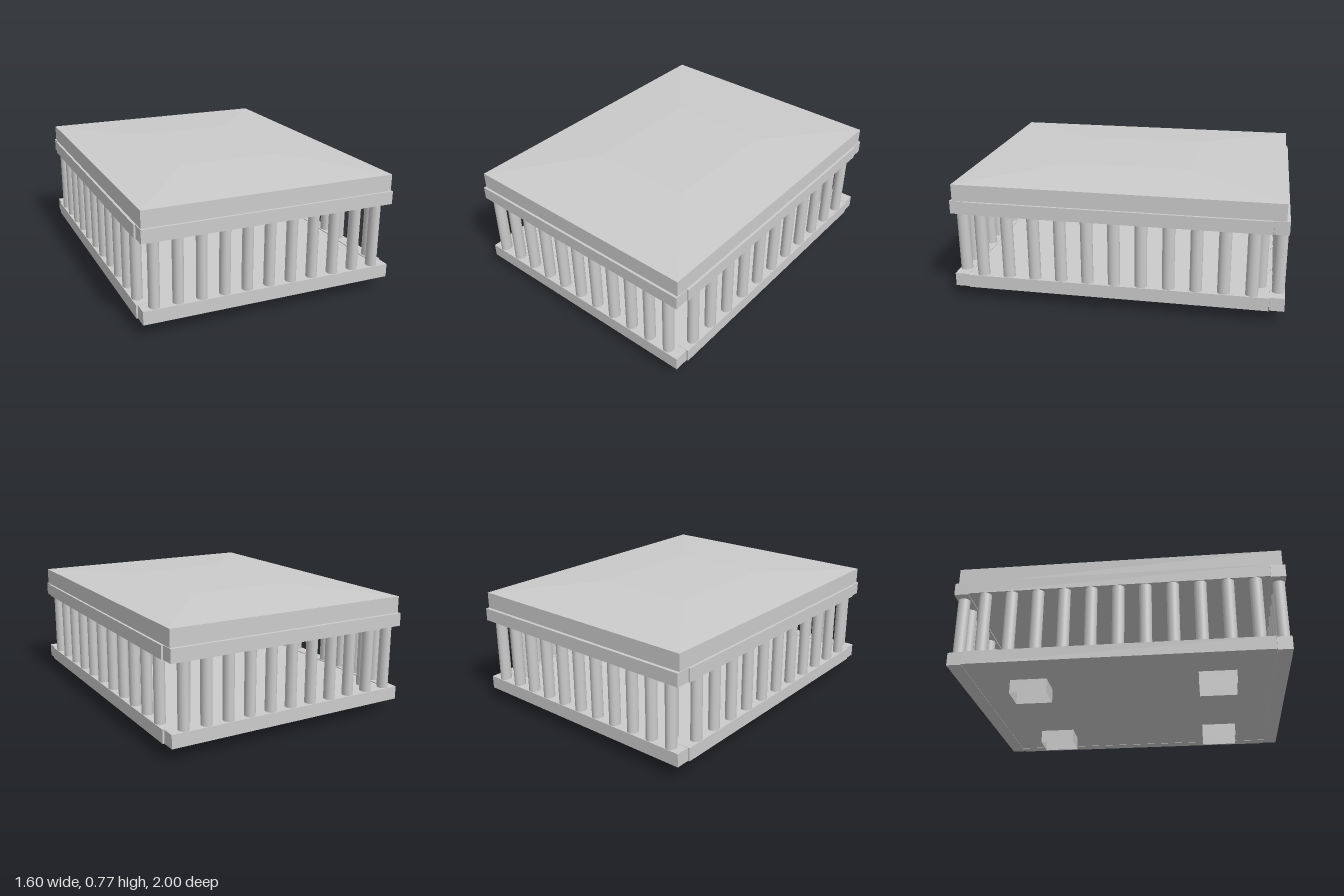
import * as THREE from 'three';

const grey = new THREE.MeshStandardMaterial({ color: 0xcccccc, flatShading: true });
const smooth = new THREE.MeshStandardMaterial({ color: 0xcccccc });
const open = new THREE.MeshStandardMaterial({ color: 0xcccccc, flatShading: true, side: THREE.DoubleSide });

export function createModel() {
  const model = new THREE.Group();

  const add = (name, geometry, x, y, z, material = grey) => {
    const mesh = new THREE.Mesh(geometry, material);
    mesh.name = name;
    mesh.position.set(x, y, z);
    model.add(mesh);
    return mesh;
  };
  // Box given by its size in x and z and its bottom and top heights
  const slab = (name, w, d, y0, y1, x = 0, z = 0) =>
    add(name, new THREE.BoxGeometry(w, y1 - y0, d), x, (y0 + y1) / 2, z);

  // Floor and ceiling panels with a rail on each side
  slab('floor', 1.5, 1.84, 0.085, 0.16);
  slab('ceiling', 1.5, 1.84, 0.565, 0.64);
  for (const [level, y0, y1] of [['lower', 0.083, 0.165], ['upper', 0.558, 0.638]]) {
    for (const s of [-1, 1]) {
      slab(level + 'SideRail', 0.075, 1.82, y0, y1, s * 0.7625, 0);
      slab(level + 'EndRail', 1.58, 0.088, y0, y1, 0, s * 0.956);
    }
  }

  // Slightly oval bars
  const barGeometry = new THREE.CylinderGeometry(0.032, 0.032, 0.4, 20);
  barGeometry.scale(1, 1, 1.16);
  const bar = (name, x, z) => add(name, barGeometry, x, 0.362, z, smooth);
  for (let i = 0; i < 11; i++) {
    const x = -0.712 + i * 0.141;
    const z = 0.822 - i * 0.163;
    for (const s of [-1, 1]) {
      bar('endBar', x, s * 0.96);
      bar('sideBar', s * 0.765, z);
    }
  }
  for (const s of [-1, 1]) bar('innerBar', s * 0.635, -0.855);

  // Roof block with a shallow hipped top
  slab('roof', 1.57, 1.965, 0.63, 0.74, 0, 0.003);
  const hip = new THREE.BoxGeometry(1.57, 0.027, 1.965);
  const p = hip.attributes.position;
  for (let i = 0; i < p.count; i++) {
    if (p.getY(i) > 0) {
      p.setX(i, Math.sign(p.getX(i)) * 0.33);
      p.setZ(i, Math.sign(p.getZ(i)) * 0.4);
    }
  }
  hip.computeVertexNormals();
  add('roofTop', hip, 0, 0.7535, 0.003);

  // Hollow feet, open at the bottom
  const footGeometry = new THREE.CylinderGeometry(Math.SQRT1_2, Math.SQRT1_2, 1, 4, 1, true);
  footGeometry.rotateY(Math.PI / 4);
  footGeometry.scale(0.18, 0.086, 0.228);
  for (const x of [-0.45, 0.453]) {
    for (const z of [-0.57, 0.578]) add('foot', footGeometry, x, 0.043, z, open);
  }

  return model;
}
